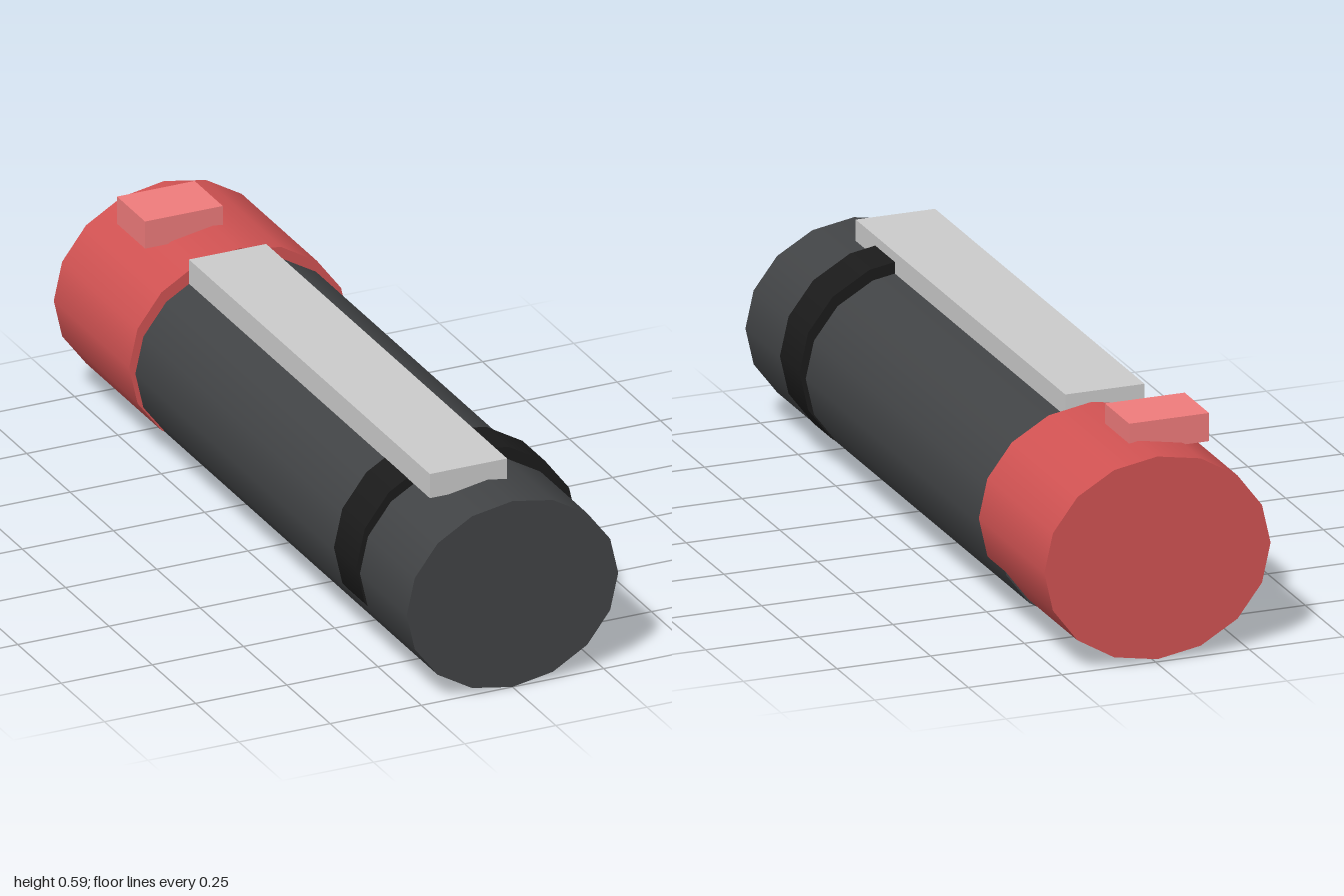
import * as THREE from 'three';

const mat = (color) => new THREE.MeshStandardMaterial({ color });

// 16-sided elliptical drum lying along z
function drum(name, color, [cx, cy], [rx, ry], zBack, zFront) {
  const geometry = new THREE.CylinderGeometry(1, 1, 1, 16)
    .rotateX(Math.PI / 2)
    .scale(rx, ry, zFront - zBack)
    .translate(cx, cy, (zBack + zFront) / 2);
  const mesh = new THREE.Mesh(geometry, mat(color));
  mesh.name = name;
  return mesh;
}

// Box given by its low and high corners
function block(name, color, lo, hi) {
  const [w, h, d] = hi.map((v, i) => v - lo[i]);
  const mesh = new THREE.Mesh(new THREE.BoxGeometry(w, h, d), mat(color));
  mesh.position.set(...hi.map((v, i) => (v + lo[i]) / 2));
  mesh.name = name;
  return mesh;
}

export function createModel() {
  const group = new THREE.Group();
  group.name = 'penLikeDevice';
  group.add(
    // Main barrel and the raised band near the front
    drum('barrel', 0x424446, [0, 0.255], [0.29, 0.254], -0.675, 1),
    drum('band', 0x1b1b1b, [0.0035, 0.2735], [0.303, 0.2655], 0.6, 0.73),
    // Rear cap, slightly offset from the barrel
    drum('rearCap', 0xd25353, [-0.005, 0.2745], [0.302, 0.2665], -1, -0.565),
    // Long clip on top and the button on the cap
    block('clip', 0xcccccc, [-0.16, 0.49, -0.53], [0.052, 0.556, 0.86]),
    block('button', 0xf07c7c, [-0.193, 0.515, -0.875], [0.02, 0.589, -0.713]),
  );
  return group;
}
